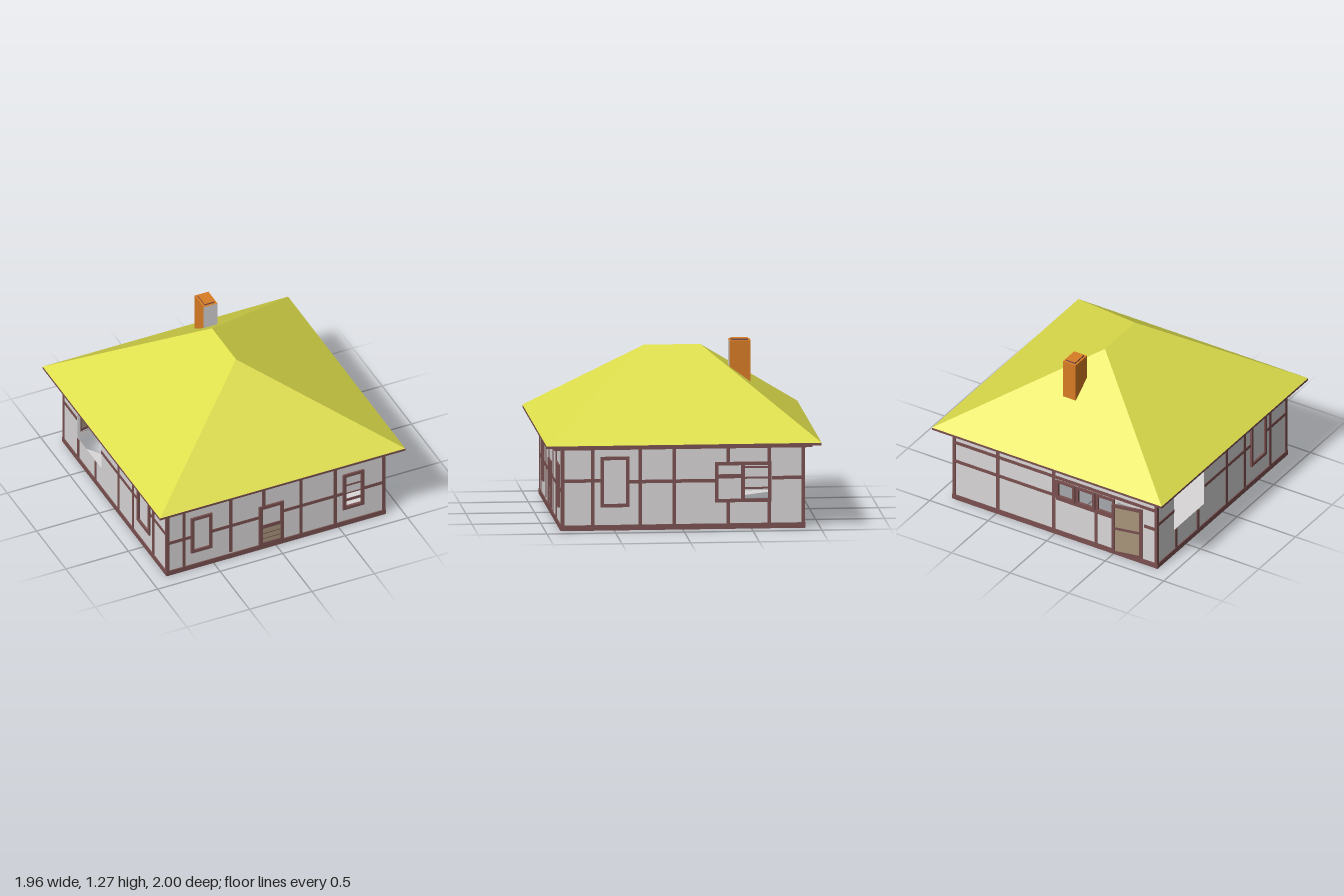
import * as THREE from 'three';

const mat = (name, color, side = THREE.FrontSide) => {
  const m = new THREE.MeshStandardMaterial({ color, side });
  m.name = name;
  return m;
};

export function createModel() {
  const plaster = mat('plaster', 0xd8d6d6, THREE.DoubleSide);
  const timber = mat('timber', 0x7a5050);
  const thatch = mat('roofYellow', 0xdede4c);
  const brick = mat('brickOrange', 0xd87c24);
  const doorTan = mat('doorTan', 0xaa967c);
  const house = new THREE.Group();
  house.name = 'house';

  const add = (parent, name, geo, material) => {
    const mesh = new THREE.Mesh(geo, material);
    mesh.name = name;
    parent.add(mesh);
    return mesh;
  };
  // Box given by its limits on each axis
  const block = (parent, name, x0, x1, y0, y1, z0, z1, material) => {
    const mesh = add(parent, name, new THREE.BoxGeometry(x1 - x0, y1 - y0, z1 - z0), material);
    mesh.position.set((x0 + x1) / 2, (y0 + y1) / 2, (z0 + z1) / 2);
    return mesh;
  };

  // One side of the house: u runs to the right as seen from outside, z points outward
  function side(name, angle, half, dist, holes) {
    const g = new THREE.Group();
    g.name = name;
    g.rotation.y = angle;
    house.add(g);
    const rect = (S, a, b, c, d) => new S([[a, c], [b, c], [b, d], [a, d]].map(p => new THREE.Vector2(...p)));
    const shape = rect(THREE.Shape, -half, half, 0, 0.61);
    for (const h of holes) shape.holes.push(rect(THREE.Path, ...h));
    add(g, 'wall', new THREE.ShapeGeometry(shape), plaster).position.z = dist;
    const beam = (u0, u1, y0, y1, out = 0.008) =>
      block(g, 'beam', u0, u1, y0, y1, dist + 0.002, dist + out, timber);
    const post = (u, w = 0.026, y0 = 0.03, y1 = 0.6) => beam(u - w / 2, u + w / 2, y0, y1);
    const rail = (u0, u1, y, h = 0.025) => beam(u0, u1, y - h / 2, y + h / 2, 0.007);
    const frame = (u0, u1, y0, y1, t = 0.024) => {
      const bars = [[u0, u0 + t, y0, y1], [u1 - t, u1, y0, y1],
        [u0 + t, u1 - t, y0, y0 + t], [u0 + t, u1 - t, y1 - t, y1]];
      for (const b of bars) block(g, 'frame', ...b, dist - 0.006, dist + 0.014, timber);
    };
    // Sill and corner posts
    beam(-half - 0.008, half + 0.008, 0, 0.04, 0.01);
    for (const s of [-1, 1]) post(s * (half - 0.006), 0.022);
    return { g, post, rail, frame, dist };
  }

  // Front: door and two windows
  const front = side('frontSide', 0, 0.868, 0.88,
    [[0.555, 0.685, 0.168, 0.21], [0.555, 0.685, 0.235, 0.28]]);
  for (const u of [-0.735, 0.2, 0.475]) front.post(u, 0.022);
  front.post(-0.36, 0.024, 0.055);
  front.post(-0.097, 0.026, 0.38);
  for (const [a, b] of [[-0.87, -0.68], [-0.51, -0.13], [0.06, 0.535], [0.705, 0.87]]) front.rail(a, b, 0.29);
  front.frame(-0.68, -0.51, 0.145, 0.46);
  front.frame(0.535, 0.705, 0.145, 0.46);
  front.rail(0.555, 0.685, 0.225, 0.022);
  front.rail(0.555, 0.685, 0.285, 0.008);
  front.rail(0.555, 0.685, 0.357, 0.012);
  front.frame(-0.135, 0.062, 0.03, 0.385, 0.026);
  front.rail(-0.11, 0.037, 0.195, 0.03);
  block(front.g, 'doorPanel', -0.11, 0.037, 0.04, 0.18, 0.882, 0.886, doorTan);
  for (const y of [0.09, 0.135]) front.rail(-0.11, 0.037, y, 0.006);

  // Right and left: mirrored timbering
  const right = side('leftHandSide', Math.PI / 2, 0.88, 0.868, [[0.45, 0.62, 0.215, 0.29]]);
  const left = side('rightHandSide', -Math.PI / 2, 0.88, 0.868, [[-0.65, -0.24, 0.2, 0.52]]);
  for (const [s, m] of [[right, 1], [left, -1]]) {
    const rail = (a, b, y) => s.rail(Math.min(a * m, b * m), Math.max(a * m, b * m), y);
    for (const u of [-0.655, -0.31, -0.062]) s.post(u * m, 0.026);
    for (const [u, top] of [[0.33, 0.5], [0.627, 0.5]]) {
      s.post(u * m, 0.026, m > 0 ? top - 0.01 : 0.52);
      s.post(u * m, 0.026, 0.03, 0.2);
    }
    rail(-0.88, -0.6, 0.365);
    rail(-0.39, 0.235, 0.355);
    rail(0.65, 0.88, 0.37);
    const w = [-0.6, -0.39].map(u => u * m).sort((a, b) => a - b);
    s.frame(w[0], w[1], 0.17, 0.54);
  }
  // Divided window
  right.frame(0.235, 0.45, 0.195, 0.49);
  right.frame(0.425, 0.645, 0.195, 0.49);
  right.rail(0.255, 0.43, 0.385, 0.03);
  for (const y of [0.297, 0.372, 0.45]) right.rail(0.45, 0.62, y, 0.014);

  // Back: three small windows and a door standing ajar
  const smallWindows = [0, 1, 2].map(i => 0.01 + i * 0.17);
  const back = side('backSide', Math.PI, 0.868, 0.88,
    [...smallWindows.map(u => [u + 0.02, u + 0.14, 0.34, 0.45]), [0.53, 0.735, 0.045, 0.45]]);
  for (const u of smallWindows) back.frame(u, u + 0.16, 0.32, 0.47, 0.02);
  back.rail(-0.87, 0.87, 0.49);
  back.rail(-0.87, 0.01, 0.33);
  back.rail(0.01, 0.52, 0.31);
  back.rail(0.76, 0.87, 0.33);
  back.post(-0.49);
  back.post(-0.01);
  for (const u of [0.35, 0.51]) back.post(u, 0.022, 0.03, 0.32);
  const door = new THREE.Group();
  door.name = 'backDoor';
  door.position.set(0.75, 0, 0.885);
  door.rotation.y = 0.2;
  back.g.add(door);
  block(door, 'doorPanel', -0.23, 0, 0.05, 0.46, 0, 0.006, doorTan);
  for (const b of [[-0.24, -0.215, 0.045, 0.465], [-0.025, 0, 0.045, 0.465], [-0.215, -0.025, 0.045, 0.065],
    [-0.215, -0.025, 0.44, 0.465], [-0.215, -0.025, 0.25, 0.27]]) {
    block(door, 'doorFrame', ...b, -0.003, 0.01, timber);
  }

  // Partly open floor
  const floor = new THREE.Shape([[0.868, -0.88], [0.868, 0.88], [-0.868, 0.88], [-0.868, -0.88], [0.4, 0.865]]
    .map(([x, z]) => new THREE.Vector2(x, -z)));
  const floorMesh = add(house, 'floor', new THREE.ShapeGeometry(floor), plaster);
  floorMesh.rotation.x = -Math.PI / 2;
  floorMesh.position.y = 0.003;

  // Stepped eaves and hipped roof
  block(house, 'cornice', -0.92, 0.92, 0.597, 0.62, -0.94, 0.94, timber);
  block(house, 'eaves', -0.982, 0.982, 0.62, 0.637, -1, 1, timber);
  const [X, Z, Y, R, T] = [0.982, 1, 0.638, 0.205, 1.22];
  const a = [-X, Y, Z], b = [X, Y, Z], c = [X, Y, -Z], d = [-X, Y, -Z], f = [0, T, R], k = [0, T, -R];
  const roof = new THREE.BufferGeometry();
  roof.setAttribute('position', new THREE.Float32BufferAttribute(
    [a, b, f, c, d, k, b, c, k, b, k, f, d, a, f, d, f, k].flat(), 3));
  roof.computeVertexNormals();
  add(house, 'roof', roof, thatch);

  // Chimney with a plastered front face
  const chimney = block(house, 'chimney', 0.028, 0.138, 0.8, 1.263, -0.56, -0.405, brick);
  chimney.material = [brick, brick, brick, brick, plaster, brick];
  const cap = block(house, 'chimneyCap', 0.043, 0.123, 1.263, 1.274, -0.543, -0.422, timber);
  cap.material = [timber, timber, brick, timber, timber, timber];

  return house;
}
